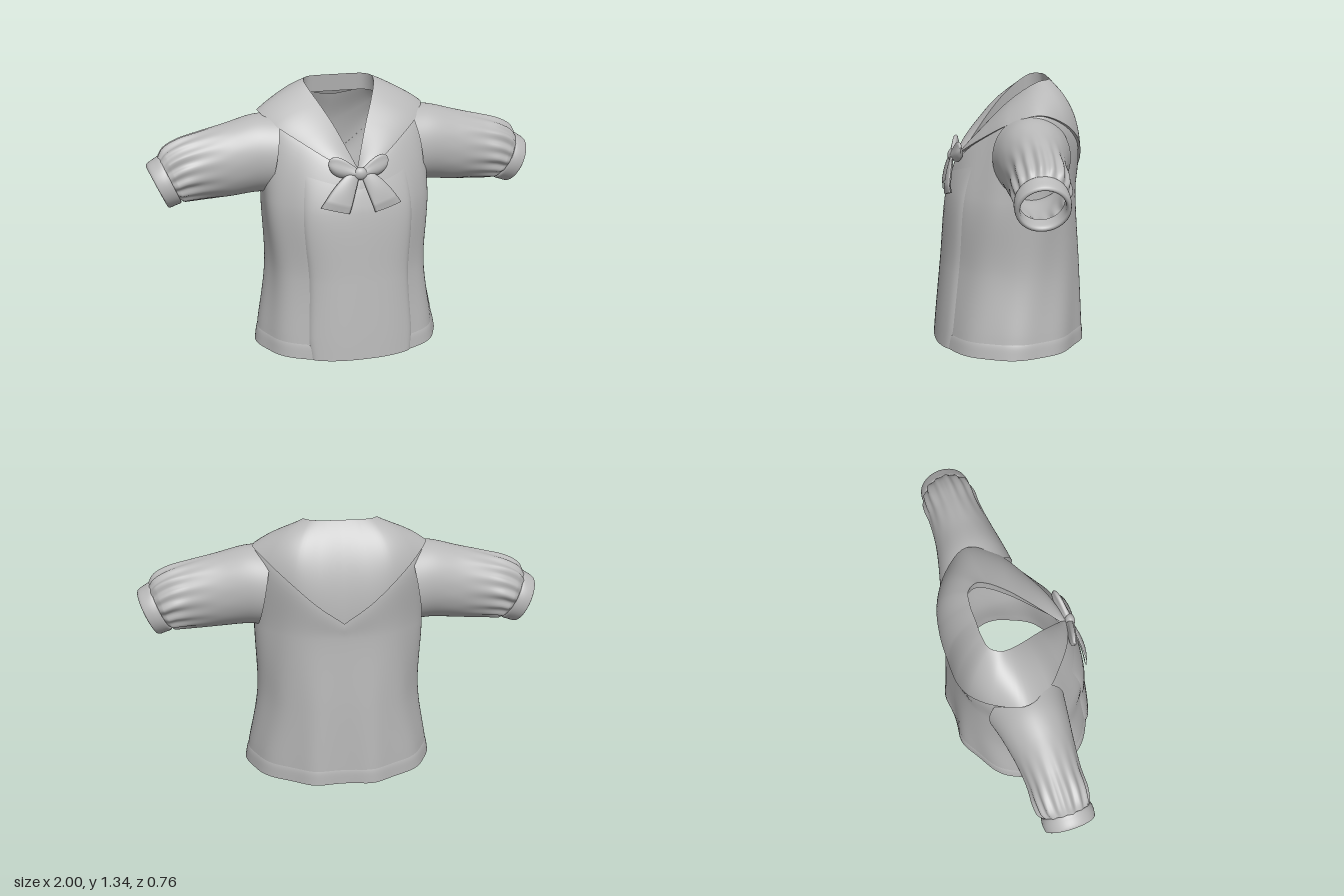
import * as THREE from 'three';
import { ParametricGeometry } from 'three/addons/geometries/ParametricGeometry.js';

const V = (x, y, z) => new THREE.Vector3(x, y, z);
const curve = (pts) => new THREE.CatmullRomCurve3(pts.map((p) => V(...p)));

// Half outlines of the collar, running from centre back to centre front
const foldEdge = curve([[0, 1.34, -0.2], [0.08, 1.34, -0.2], [0.15, 1.34, -0.185], [0.18, 1.335, -0.14],
  [0.175, 1.31, -0.09], [0.135, 1.24, 0], [0.085, 1.15, 0.085], [0.035, 1.04, 0.17], [0, 0.96, 0.23]]);
const bulge = curve([[0, 1.18, -0.355], [0.12, 1.2, -0.345], [0.24, 1.25, -0.31], [0.31, 1.29, -0.22],
  [0.33, 1.28, -0.1], [0.28, 1.22, 0.03], [0.19, 1.13, 0.13], [0.09, 1.03, 0.215], [0, 0.95, 0.26]]);
const outerEdge = curve([[0, 0.86, -0.355], [0.13, 0.955, -0.355], [0.25, 1.06, -0.325], [0.36, 1.15, -0.24],
  [0.43, 1.2, -0.11], [0.37, 1.15, 0.03], [0.26, 1.08, 0.13], [0.13, 1.0, 0.22], [0, 0.93, 0.27]]);

// Point on the collar: s from back to front, t from fold to outer edge
function collarPoint(s, t) {
  return foldEdge.getPoint(s).multiplyScalar((1 - t) ** 2)
    .addScaledVector(bulge.getPoint(s), 2 * t * (1 - t))
    .addScaledVector(outerEdge.getPoint(s), t * t);
}

// Level torso rings: height, half width, front z, back z
const torsoRings = [[0, 0.475, 0.37, -0.36], [0.1, 0.46, 0.362, -0.36], [0.4, 0.415, 0.335, -0.355], [0.78, 0.43, 0.302, -0.34]];

// Point on the torso: s from -1 to 1 around (0 is centre back), v from hem to neck
function torsoPoint(s, v) {
  const h = Math.min(1, Math.abs(s)), a = h * Math.PI;
  const pts = torsoRings.map(([y, hw, zf, zb]) => {
    const mid = (zf + zb) / 2, x = hw * Math.sin(a) ** 0.92;
    const c = Math.cos(a), fade = 1 - y;
    const z = mid - Math.sign(c) * Math.abs(c) ** 0.95 * (zf - zb) / 2;
    // Soft vertical drapes
    const drape = c > 0 ? 0.024 * fade * Math.exp(-(((x - 0.15) / 0.08) ** 2)) : 0;
    const fold = 1 + 0.012 * Math.sin(a) * Math.sin(9 * a + 4 * y);
    return V(x * fold, y, z * fold - drape);
  });
  for (const [t, k, drop] of [[1, 0.97, 0.012], [0.6, 0.95, 0.025], [0.25, 0.95, 0.025]]) {
    const p = collarPoint(h, t);
    pts.push(V(p.x * k, p.y - drop, p.z * k));
  }
  const p = new THREE.CatmullRomCurve3(pts).getPoint(v);
  if (s > 0) p.x *= -1;
  return p;
}

// Sleeve sections: top x, top y, bottom x, bottom y, centre z, half depth, gather
const sleeveRings = [
  [0.34, 1.19, 0.41, 0.79, -0.08, 0.19, 0], [0.46, 1.185, 0.47, 0.79, -0.075, 0.172, 0],
  [0.6, 1.15, 0.6, 0.778, -0.07, 0.15, 0], [0.74, 1.115, 0.72, 0.772, -0.07, 0.136, 0.02],
  [0.85, 1.08, 0.79, 0.772, -0.07, 0.135, 0.05], [0.915, 1.04, 0.82, 0.772, -0.07, 0.128, 0.06],
  [0.945, 0.995, 0.845, 0.785, -0.065, 0.112, 0.02]];
const cuffRings = [
  [0.935, 0.985, 0.845, 0.79, -0.065, 0.105, 0], [0.937, 1.005, 0.835, 0.768, -0.065, 0.124, 0],
  [0.965, 0.99, 0.865, 0.755, -0.065, 0.129, 0], [0.996, 0.967, 0.897, 0.746, -0.065, 0.125, 0],
  [0.998, 0.955, 0.905, 0.755, -0.065, 0.112, 0], [0.985, 0.95, 0.9, 0.768, -0.065, 0.104, 0],
  [0.935, 0.975, 0.845, 0.79, -0.065, 0.103, 0]];

// Loft through tilted oval sections
function ovalLoft(rings, side, nu, nv) {
  const tops = curve(rings.map((r) => [r[0], r[1], r[4]]));
  const bottoms = curve(rings.map((r) => [r[2], r[3], r[4]]));
  const depth = curve(rings.map((r) => [r[5], r[6], 0]));
  return new ParametricGeometry((u, v, out) => {
    const a = -side * u * Math.PI * 2;
    const top = tops.getPoint(v), bottom = bottoms.getPoint(v), d = depth.getPoint(v);
    const pucker = 1 + d.y * (Math.sin(15 * a) + 0.4 * Math.sin(8 * a + 1)) * 0.8;
    const half = top.clone().sub(bottom).multiplyScalar(0.5);
    out.copy(top).add(bottom).multiplyScalar(0.5).addScaledVector(half, Math.cos(a) * pucker);
    out.z += Math.sin(a) * d.x * pucker;
    out.x *= side;
  }, nu, nv);
}

export function createModel() {
  const model = new THREE.Group();
  model.name = 'blouse';
  const cloth = new THREE.MeshStandardMaterial({ color: 0xb8b8b8, side: THREE.DoubleSide });
  cloth.name = 'grey cloth';
  const add = (name, geometry, parent = model) => {
    const mesh = new THREE.Mesh(geometry, cloth);
    mesh.name = name;
    parent.add(mesh);
    return mesh;
  };

  // Torso, open at hem and neck
  add('torso', new ParametricGeometry((u, v, out) => out.copy(torsoPoint(2 * u - 1, v)), 120, 54));

  // Turned hem
  add('hem', new ParametricGeometry((u, v, out) => {
    const p = torsoPoint(2 * u - 1, v * 0.13), k = 1 + 0.008 * (1 - v ** 6);
    out.set(p.x * k, p.y, p.z * k);
  }, 120, 8));

  // Raised front panel between the two pleats
  add('frontPanel', new ParametricGeometry((u, v, out) => {
    const w = 1 - 2 * u, t = v * 0.58;
    const reach = 0.175 + 0.035 * Math.min(1, t * 2.5);
    const s = (w < 0 ? -1 : 1) * (1 - reach * Math.abs(w));
    out.copy(torsoPoint(s, t));
    out.z += 0.014 * (1 - Math.abs(w) ** 20) * (1 - v ** 5);
  }, 40, 30));

  // Wide collar, falling to a point at the back
  add('collar', new ParametricGeometry((u, v, out) => {
    const s = 2 * u - 1;
    out.copy(collarPoint(Math.abs(s), v));
    if (s < 0) out.x *= -1;
  }, 96, 20));

  // Collar edge, turned under to meet the cloth
  add('collarEdge', new ParametricGeometry((u, v, out) => {
    const s = 2 * u - 1;
    const p = outerEdge.getPoint(Math.abs(s)), k = 1 - 0.035 * v;
    out.set(p.x * k * (s < 0 ? -1 : 1), p.y - 0.004 * v, p.z * k);
  }, 96, 1));

  // Upright band inside the neck
  add('collarStand', new ParametricGeometry((u, v, out) => {
    const s = 2 * u - 1, h = Math.abs(s);
    const p = foldEdge.getPoint(h), k = 1 + 0.06 * v;
    out.set(p.x * k * (s < 0 ? -1 : 1), p.y - 0.09 * v * (1 - h ** 3), p.z * k);
  }, 80, 4));

  // Gathered sleeves with cuffs
  for (const side of [1, -1]) {
    const sleeve = new THREE.Group();
    sleeve.name = side > 0 ? 'leftSleeve' : 'rightSleeve';
    model.add(sleeve);
    add('sleeveCloth', ovalLoft(sleeveRings, side, 120, 40), sleeve);
    add('cuff', ovalLoft(cuffRings, side, 48, 24), sleeve);
  }

  // Bow: knot, two loops and two tails
  const bow = new THREE.Group();
  bow.name = 'bow';
  model.add(bow);
  const knot = add('knot', new THREE.SphereGeometry(1, 20, 14), bow);
  knot.scale.set(0.036, 0.032, 0.024);
  knot.position.set(0, 0.945, 0.282);
  for (const side of [1, -1]) {
    // Loop flaring out from the knot
    add('loop', new ParametricGeometry((u, v, out) => {
      const a = -side * u * Math.PI * 2;
      const tall = 0.018 + 0.034 * Math.sin(v * 2.2), end = Math.sqrt(1 - v ** 6);
      out.set(side * (0.01 + 0.145 * v), 0.948 + 0.045 * v + Math.cos(a) * tall * end,
        0.278 - 0.03 * v + Math.sin(a) * 0.02 * end * (1 + 0.2 * Math.cos(3 * a)));
    }, 28, 14), bow);
    // Broad tail hanging over the chest, softly creased
    const sheet = (front) => new ParametricGeometry((u, v, out) => {
      const w = front === (side > 0) ? u : 1 - u;
      const inner = V(0.0 + 0.065 * v, 0.945 - 0.19 * v, 0), outer = V(0.03 + 0.175 * v ** 0.75, 0.955 - 0.165 * v ** 1.25, 0);
      out.lerpVectors(inner, outer, w);
      const puff = Math.sin(Math.PI * w) ** 0.5 * (0.008 + 0.008 * Math.sin(Math.PI * v));
      out.z = 0.28 + 0.045 * Math.min(1, v * 1.2) - 0.022 * w * v + (front ? puff : -0.006);
      out.x *= side;
    }, 14, 14);
    add('tailFront', sheet(true), bow);
    add('tailBack', sheet(false), bow);
  }
  return model;
}
